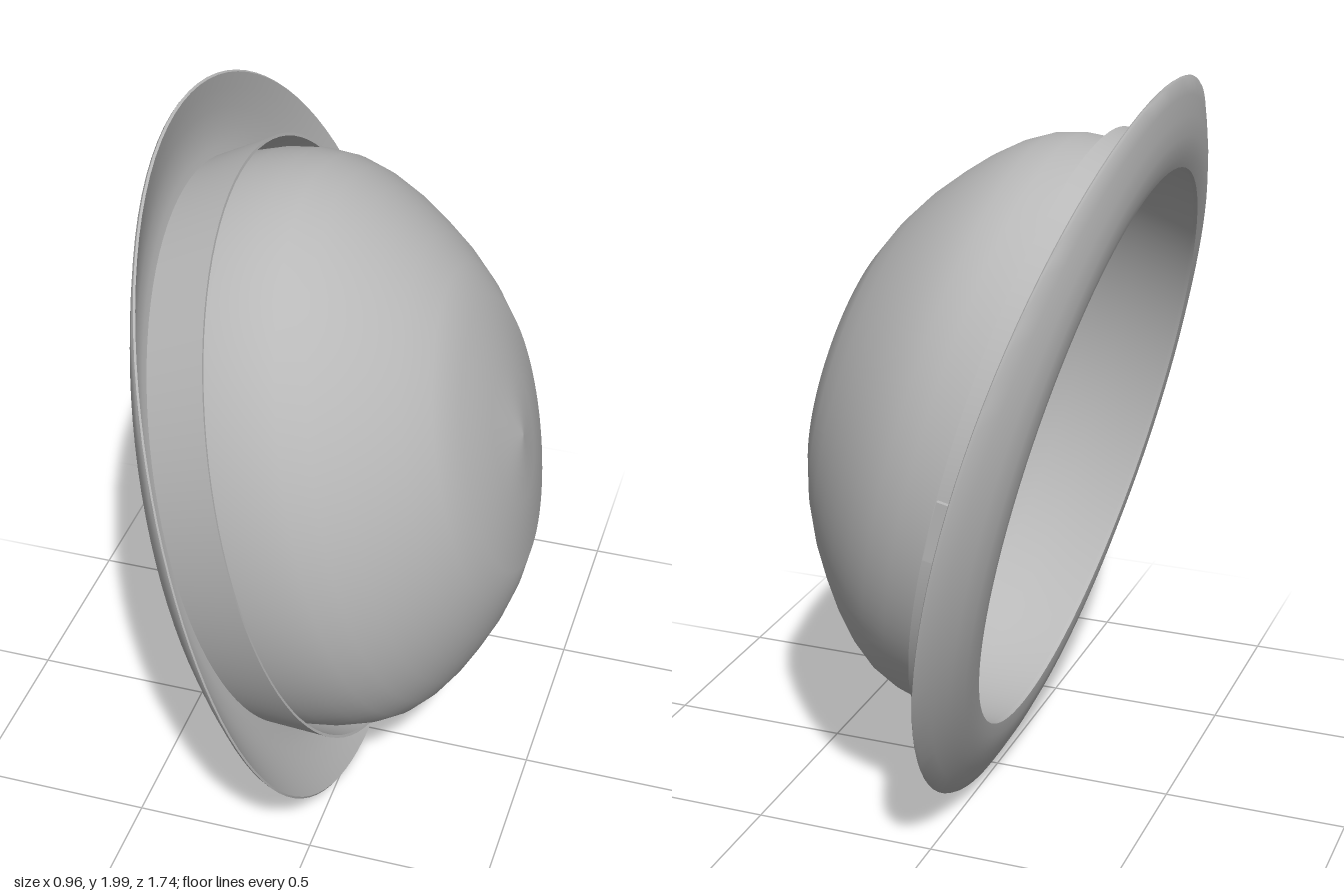
import * as THREE from 'three';
import { toCreasedNormals } from 'three/addons/utils/BufferGeometryUtils.js';

const SIDE = 0.85; // the hat is oval: narrower across than along
const SEGMENTS = 96;

const felt = new THREE.MeshStandardMaterial({ color: 0xb8b8b8, side: THREE.DoubleSide });
felt.name = 'grey felt';

// Oval lathe from [radius, height] pairs
function ovalLathe(points) {
  const geometry = new THREE.LatheGeometry(points.map(([r, h]) => new THREE.Vector2(r, h)), SEGMENTS);
  return geometry.scale(1, 1, SIDE);
}

function part(name, geometry) {
  const mesh = new THREE.Mesh(geometry, felt);
  mesh.name = name;
  return mesh;
}

// Thin brim, dished along its section and curled up at the two sides
function brimGeometry() {
  const under = [[0.795, -0.045], [0.83, -0.049], [0.88, -0.045], [0.93, -0.033], [0.98, -0.017], [1.02, -0.003]];
  const top = under.map(([r, h]) => [r, h + 0.011]).reverse();
  const geometry = ovalLathe([...under, [1.025, 0.003], ...top, under[0]]);
  const pos = geometry.attributes.position;
  for (let i = 0; i < pos.count; i++) {
    const x = pos.getX(i), z = pos.getZ(i) / SIDE;
    const r = Math.hypot(x, z);
    const t = Math.max(0, (r - 0.8) / 0.225);
    pos.setY(i, pos.getY(i) + 0.053 * t * t * (z / r) ** 2);
  }
  return toCreasedNormals(geometry, 0.8);
}

export function createModel() {
  const hat = new THREE.Group();
  hat.name = 'roundHat';

  // Open dome
  hat.add(part('crown', ovalLathe([
    [0.795, -0.045], [0.808, 0.04], [0.812, 0.13], [0.802, 0.22], [0.78, 0.29],
    [0.74, 0.355], [0.685, 0.418], [0.625, 0.473], [0.555, 0.53], [0.47, 0.585],
    [0.376, 0.631], [0.19, 0.66], [0.001, 0.685],
  ])));

  hat.add(part('brim', brimGeometry()));

  // Flared ribbon round the base of the crown
  hat.add(part('band', toCreasedNormals(ovalLathe([
    [0.8, -0.04], [0.808, -0.04], [0.848, 0.13], [0.84, 0.13], [0.8, -0.04],
  ]), 0.6)));

  // Flat bow plate on one side of the band
  const bow = part('bowPlate', new THREE.BoxGeometry(0.16, 0.125, 0.012));
  bow.position.set(0, 0.06, -0.73);
  bow.rotation.x = -0.06;
  hat.add(bow);

  // The hat stands on the edge of its brim, crown towards +x
  hat.rotation.z = -1.33;
  hat.position.set(-0.225, 1.003, 0);

  const model = new THREE.Group();
  model.name = 'hat';
  model.add(hat);
  return model;
}
